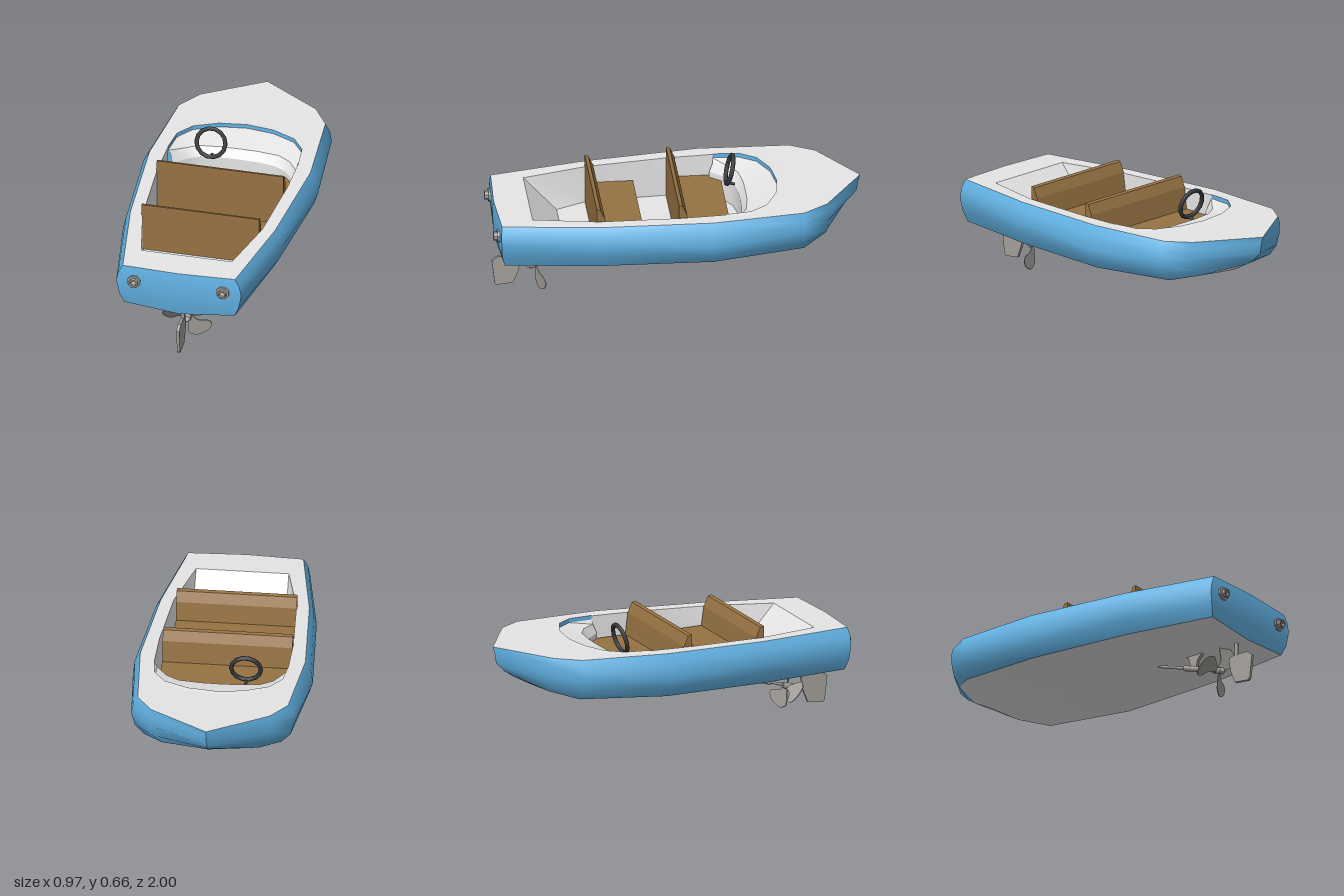
import * as THREE from 'three';
import { toCreasedNormals, mergeGeometries } from 'three/addons/utils/BufferGeometryUtils.js';

const mat = (name, color, side = THREE.DoubleSide) => {
  const m = new THREE.MeshStandardMaterial({ color, side });
  m.name = name;
  return m;
};

// Surface through rows of [x, y, z] points, faces turned to (along row) x (next row)
function strip(rows, crease = 0.5) {
  const pos = [];
  for (let i = 0; i < rows.length - 1; i++) {
    for (let j = 0; j < rows[i].length - 1; j++) {
      const a = rows[i][j], b = rows[i][j + 1], c = rows[i + 1][j + 1], d = rows[i + 1][j];
      pos.push(...a, ...b, ...c, ...a, ...c, ...d);
    }
  }
  const g = new THREE.BufferGeometry();
  g.setAttribute('position', new THREE.Float32BufferAttribute(pos, 3));
  return toCreasedNormals(g, crease);
}
const flip = ([x, y, z]) => [-x, y, z];
// The same surface on the +x side and mirrored on the -x side
const stripPair = (rows, crease) =>
  mergeGeometries([strip(rows, crease), strip(rows.map((r) => r.map(flip).reverse()), crease)]);

// Plate with a [z, y] outline, running across x
function acrossX(points, x, width) {
  const shape = new THREE.Shape(points.map(([z, y]) => new THREE.Vector2(-z, y)));
  const g = new THREE.ExtrudeGeometry(shape, { depth: width, bevelEnabled: false });
  return g.rotateY(Math.PI / 2).translate(x - width / 2, 0, 0);
}

export function createModel() {
  const boat = new THREE.Group();
  boat.name = 'motorboat';
  const blue = mat('hullBlue', 0x63b4e6);
  const white = mat('deckWhite', 0xe6e6e6);
  const wood = mat('seatWood', 0x967242, THREE.FrontSide);
  const metal = mat('metal', 0xa5a19c);
  const dark = mat('darkRubber', 0x36383a, THREE.FrontSide);
  const add = (name, geometry, material, parent = boat) => {
    const m = new THREE.Mesh(geometry, material);
    m.name = name;
    parent.add(m);
    return m;
  };

  // Hull half sections from stern to bow: deck edge, upper, middle, lower, chine, keel
  const sections = [
    [[0.31, 0.515, 0.96], [0.335, 0.47, 0.965], [0.345, 0.42, 0.965], [0.33, 0.34, 0.96], [0.305, 0.28, 0.945], [0, 0.253, 0.955]],
    [[0.4, 0.53, 0.43], [0.425, 0.49, 0.43], [0.44, 0.43, 0.43], [0.425, 0.36, 0.43], [0.385, 0.292, 0.43], [0, 0.262, 0.43]],
    [[0.445, 0.55, -0.17], [0.475, 0.5, -0.17], [0.485, 0.42, -0.17], [0.465, 0.36, -0.17], [0.425, 0.307, -0.17], [0, 0.272, -0.17]],
    [[0.405, 0.565, -0.66], [0.43, 0.52, -0.66], [0.44, 0.46, -0.66], [0.42, 0.39, -0.66], [0.37, 0.338, -0.66], [0, 0.3, -0.66]],
    [[0.32, 0.57, -0.79], [0.335, 0.53, -0.79], [0.33, 0.47, -0.79], [0.31, 0.41, -0.79], [0.26, 0.37, -0.79], [0, 0.34, -0.78]],
    [[0, 0.575, -1], [0, 0.54, -0.99], [0, 0.48, -0.98], [0, 0.43, -0.93], [0, 0.395, -0.88], [0, 0.375, -0.84]],
  ];
  add('hullSides', stripPair(sections.map((s) => s.slice(0, 5)), 0.8), blue);
  add('hullBottom', stripPair(sections.map((s) => s.slice(4))), white);
  const stern = sections[0].slice(0, 5);
  const sternMiddle = [[0, 0.515, 0.975], [0, 0.47, 0.98], [0, 0.42, 0.98], [0, 0.34, 0.975], [0, 0.253, 0.955]];
  add('transom', strip([stern.map(flip), sternMiddle, stern]), blue);

  // Deck height along the boat
  const edge = sections.map((s) => s[0]);
  const deckY = (z) => {
    let i = 0;
    while (i < edge.length - 2 && z < edge[i + 1][2]) i++;
    const t = THREE.MathUtils.clamp((z - edge[i][2]) / (edge[i + 1][2] - edge[i][2]), 0, 1);
    return THREE.MathUtils.lerp(edge[i][1], edge[i + 1][1], t);
  };

  // Deck with the cockpit opening
  const opening = [[0.25, 0.79], [0.33, 0.44], [0.36, 0], [0.36, -0.24], [0.345, -0.38], [0.28, -0.47], [0.15, -0.53], [0, -0.55]];
  const loop = (half) => [...half, ...half.filter(([x]) => x > 0).reverse().map(([x, z]) => [-x, z])]
    .map(([x, z]) => new THREE.Vector2(x, -z));
  const deckShape = new THREE.Shape(loop([[0, 0.975], ...edge.map(([x, , z]) => [x, z])]));
  deckShape.holes.push(new THREE.Path(loop(opening)));
  const deck = new THREE.ShapeGeometry(deckShape).rotateX(-Math.PI / 2);
  const p = deck.attributes.position;
  for (let i = 0; i < p.count; i++) p.setY(i, deckY(p.getZ(i)));
  deck.computeVertexNormals();
  add('deck', deck, white);

  // Cockpit walls, ramp and floor
  const floorY = 0.32;
  const floorEdge = [[0.25, 0.61], [0.33, 0.44], [0.36, 0], [0.36, -0.24]];
  const walls = floorEdge.map(([x, z], i) => {
    const [tx, tz] = opening[i];
    return [[tx, deckY(tz), tz], [x, floorY, z]];
  }).reverse();
  add('cockpitWalls', stripPair(walls), white);
  const ramp = walls[walls.length - 1];
  add('rearRamp', strip([ramp, ramp.map(flip)]), white);
  add('floor', strip([...floorEdge, [0.3, -0.36]].map(([x, z]) => [[-x, floorY, z], [x, floorY, z]])), white);

  // Curved rim, blue band and dashboard around the front of the cockpit
  const rimOuter = [[0.38, -0.24], [0.385, -0.38], [0.3, -0.5], [0.16, -0.565], [0, -0.59]];
  const dashTop = [[0.345, -0.24], [0.29, -0.32], [0.22, -0.365], [0.1, -0.38], [0, -0.382]];
  const dashLip = [[0.335, -0.22], [0.27, -0.295], [0.2, -0.335], [0.1, -0.352], [0, -0.354]];
  const arc = (half, height) => {
    const right = half.map(([x, z]) => [x, height(z), z]);
    return [...right.slice(0, -1).map(flip), ...right.slice().reverse()];
  };
  const between = (a, b) => strip(a.map((q, i) => [q, b[i]]));
  const inner = opening.slice(3);
  const rim = arc(inner, (z) => deckY(z) + 0.003);
  const band = arc(inner, (z) => deckY(z) - 0.02);
  const dash = arc(dashTop, () => 0.51);
  const lip = arc(dashLip, () => 0.46);
  add('cockpitRim', between(arc(rimOuter, (z) => deckY(z) + 0.001), rim), white);
  add('cockpitBand', between(rim, band), blue);
  add('dashboard', between(band, dash), white);
  add('dashFace', between(dash, lip), white);
  add('dashWall', between(lip, arc(dashLip, () => floorY)), white);

  // Bench seats
  const bench = (name, z, top, depth, x, width) => add(name, acrossX([
    [z, floorY], [z, top], [z - 0.02, top - 0.005], [z - 0.045, top - 0.06],
    [z - 0.06, 0.43], [z - depth, 0.43], [z - depth, floorY],
  ], x, width), wood);
  bench('frontSeat', 0.01, 0.61, 0.29, -0.01, 0.7);
  bench('rearSeat', 0.45, 0.595, 0.26, -0.01, 0.65);

  // Steering wheel
  const wheel = new THREE.Group();
  wheel.name = 'steeringWheel';
  wheel.position.set(-0.14, 0.57, -0.31);
  wheel.rotation.x = -0.25;
  boat.add(wheel);
  add('wheelRim', new THREE.TorusGeometry(0.08, 0.012, 8, 14), dark, wheel);
  const column = add('wheelColumn', new THREE.CylinderGeometry(0.008, 0.008, 0.05, 8), dark, wheel);
  column.rotation.x = Math.PI / 2;
  column.position.set(0, -0.08, -0.025);

  // Exhaust outlets: flange and open pipe in one turned profile
  const exhaustProfile = [[0, 0.97], [0.017, 0.98], [0.017, 1], [0.025, 1], [0.025, 0.98], [0.037, 0.98], [0.037, 0.95]]
    .map(([r, z]) => new THREE.Vector2(r, z));
  const exhaust = toCreasedNormals(new THREE.LatheGeometry(exhaustProfile, 8).rotateX(Math.PI / 2).rotateZ(Math.PI / 8), 0.5);
  for (const side of [-1, 1]) {
    add(side > 0 ? 'leftExhaust' : 'rightExhaust', exhaust, metal).position.set(side * 0.245, 0.43, 0);
  }

  // Propeller on its sloping shaft
  const drive = new THREE.Group();
  drive.name = 'propellerDrive';
  drive.position.set(0, 0.13, 0.75);
  drive.rotation.x = 0.33;
  boat.add(drive);
  const rod = (name, r1, r2, z, length) => {
    const m = add(name, new THREE.CylinderGeometry(r1, r2, length, 10), metal, drive);
    m.rotation.x = Math.PI / 2;
    m.position.z = z;
  };
  rod('shaft', 0.008, 0.008, -0.21, 0.42);
  rod('bearing', 0.016, 0.016, -0.17, 0.13);
  rod('hub', 0.02, 0.016, 0, 0.06);
  rod('hubCap', 0.004, 0.02, 0.04, 0.02);
  const outline = [[0.005, 0.012], [0.025, -0.017], [0.08, -0.057], [0.11, -0.052], [0.135, -0.034],
    [0.147, 0.019], [0.13, 0.055], [0.098, 0.053], [0.06, 0.02]];
  const curve = new THREE.SplineCurve([...outline, outline[0]].map(([x, y]) => new THREE.Vector2(x, y)));
  const blade = new THREE.ExtrudeGeometry(new THREE.Shape(curve.getPoints(27).slice(0, -1)), { depth: 0.005, bevelEnabled: false });
  const bp = blade.attributes.position;
  for (let i = 0; i < bp.count; i++) bp.setZ(i, bp.getZ(i) - bp.getY(i) * 0.45);
  blade.computeVertexNormals();
  for (let i = 0; i < 3; i++) {
    add('propellerBlade', blade, metal, drive).rotation.z = -0.96 + (i * Math.PI * 2) / 3;
  }

  // Shaft strut and rudder
  add('strut', acrossX([[0.67, 0.27], [0.53, 0.27], [0.56, 0.25], [0.575, 0.2], [0.61, 0.18], [0.62, 0.23], [0.64, 0.25]], 0, 0.02), metal);
  add('rudder', acrossX([[0.95, 0.185], [0.85, 0.185], [0.83, 0.17], [0.84, 0.1], [0.87, 0.025],
    [0.96, 0.015], [0.97, 0.03], [0.985, 0.16]], 0, 0.016), metal);
  add('rudderStock', new THREE.CylinderGeometry(0.01, 0.01, 0.1, 8).translate(0, 0.225, 0.875), metal);
  return boat;
}
